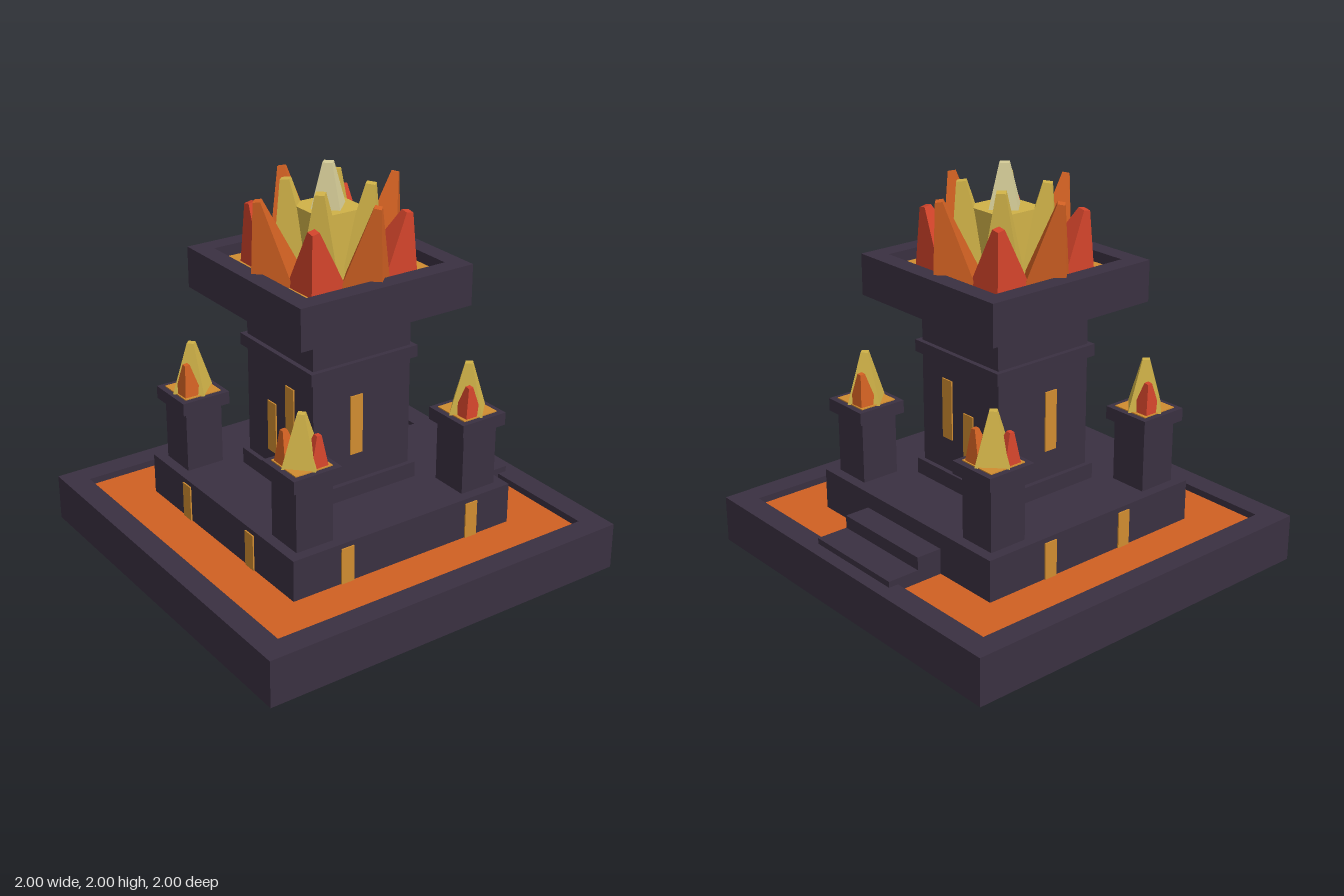
import * as THREE from 'three';

const mat = (name, color) => {
  const m = new THREE.MeshStandardMaterial({ color });
  m.name = name;
  return m;
};

export function createModel() {
  const stone = mat('dark stone', 0x3a3041);
  const lava = mat('lava orange', 0xd06022);
  const gold = mat('glowing gold', 0xd08c30);
  const red = mat('flame red', 0xd0432a);
  const yellow = mat('flame yellow', 0xd0b248);
  const pale = mat('flame pale', 0xd6cd98);

  const model = new THREE.Group();
  model.name = 'fireTower';

  const add = (parent, name, geometry, material) => {
    const mesh = new THREE.Mesh(geometry, material);
    mesh.name = name;
    parent.add(mesh);
    return mesh;
  };

  // Box given by its ranges on each axis
  const box = (parent, name, material, x0, x1, y0, y1, z0, z1) => {
    const g = new THREE.BoxGeometry(x1 - x0, y1 - y0, z1 - z0);
    g.translate((x0 + x1) / 2, (y0 + y1) / 2, (z0 + z1) / 2);
    return add(parent, name, g, material);
  };

  // Square slab centred on the vertical axis
  const slab = (parent, name, material, half, y0, y1) =>
    box(parent, name, material, -half, half, y0, y1, -half, half);

  // Square frame with an open middle
  const frame = (parent, name, material, outer, inner, y0, y1) => {
    const square = (s, h) => s.moveTo(-h, -h).lineTo(h, -h).lineTo(h, h).lineTo(-h, h).closePath();
    const shape = square(new THREE.Shape(), outer);
    shape.holes.push(square(new THREE.Path(), inner));
    const g = new THREE.ExtrudeGeometry(shape, { depth: y1 - y0, bevelEnabled: false });
    g.rotateX(-Math.PI / 2).translate(0, y0, 0);
    return add(parent, name, g, material);
  };

  // Four-sided blunt spike from a base point to a tip point, one ridge facing the heading
  const flame = (parent, name, material, base, tip, rBase, rTip, heading = 0) => {
    const a = new THREE.Vector3(...base), b = new THREE.Vector3(...tip);
    const dir = b.clone().sub(a);
    let g = new THREE.CylinderGeometry(rTip, rBase, dir.length(), 4, 1);
    g.rotateY(heading);
    g.translate(0, dir.length() / 2, 0);
    g.applyQuaternion(new THREE.Quaternion().setFromUnitVectors(
      new THREE.Vector3(0, 1, 0), dir.normalize()));
    g.translate(a.x, a.y, a.z);
    g = g.toNonIndexed();
    g.computeVertexNormals();
    return add(parent, name, g, material);
  };

  // Lava moat
  const base = new THREE.Group();
  base.name = 'base';
  model.add(base);
  slab(base, 'baseFloor', stone, 0.88, 0, 0.18);
  frame(base, 'baseWall', stone, 1, 0.88, 0, 0.24);
  slab(base, 'lavaPool', lava, 0.88, 0.18, 0.205);
  slab(base, 'plinth', stone, 0.633, 0.19, 0.415);
  box(base, 'upperStep', stone, 0.62, 0.765, 0.19, 0.335, -0.28, 0.28);
  box(base, 'lowerStep', stone, 0.76, 0.93, 0.19, 0.27, -0.28, 0.28);

  // Main tower
  const tower = new THREE.Group();
  tower.name = 'tower';
  model.add(tower);
  slab(tower, 'towerFoot', stone, 0.305, 0.415, 0.495);
  slab(tower, 'towerShaft', stone, 0.28, 0.495, 1.27);
  slab(tower, 'towerBand', stone, 0.305, 1.06, 1.12);
  slab(tower, 'towerCollar', stone, 0.335, 1.27, 1.345);
  frame(tower, 'brazierRim', stone, 0.48, 0.387, 1.34, 1.545);
  slab(tower, 'emberBed', gold, 0.387, 1.345, 1.49);

  // Glowing windows: heading of the wall, wall distance, offset along the wall, bottom, top
  const windows = [
    [0, 0.28, -0.035, 0.635, 0.94],
    [2, 0.28, 0.045, 0.635, 0.94],
    [1, 0.28, -0.09, 0.665, 0.97],
    [1, 0.28, 0.065, 0.57, 0.835],
    [3, 0.28, 0.09, 0.665, 0.97],
    [3, 0.28, -0.065, 0.57, 0.835],
    [0, 0.633, -0.335, 0.205, 0.39],
    [0, 0.633, 0.395, 0.205, 0.39],
    [2, 0.633, 0.2, 0.205, 0.39],
    [2, 0.633, -0.27, 0.205, 0.39],
    [3, 0.633, 0.27, 0.205, 0.39],
    [3, 0.633, -0.3, 0.205, 0.39],
  ];
  for (const [turn, d, u, y0, y1] of windows) {
    const w = box(model, 'window', gold, u - 0.035, u + 0.035, y0, y1, d - 0.001, d + 0.007);
    w.rotation.y = turn * Math.PI / 2;
  }

  // Great fire: orange spikes on the axes, red and yellow on the diagonals
  const fire = new THREE.Group();
  fire.name = 'greatFire';
  model.add(fire);
  const q = Math.PI / 4;
  for (let i = 0; i < 4; i++) {
    const a = i * Math.PI / 2;
    const at = (r, y, ang) => [r * Math.sin(ang), y, r * Math.cos(ang)];
    flame(fire, 'orangeFlame', lava, at(0.29, 1.48, a), at(0.387, 1.885, a), 0.145, 0.025, a);
    flame(fire, 'redFlame', red, at(0.285, 1.48, a + q), at(0.37, 1.785, a + q), 0.145, 0.028, a + q);
    flame(fire, 'yellowFlame', yellow, at(0.15, 1.48, a + q), at(0.2, 1.91, a + q), 0.14, 0.032, a);
  }
  slab(fire, 'fireCore', yellow, 0.13, 1.48, 1.79);
  flame(fire, 'paleFlame', pale, [0, 1.75, 0], [0, 2, 0], 0.11, 0.033);

  // Corner pillars, each with a small fire
  for (const sx of [-1, 1]) {
    for (const sz of [-1, 1]) {
      const pillar = new THREE.Group();
      pillar.name = 'cornerPillar';
      pillar.position.set(sx * 0.48, 0, sz * 0.48);
      model.add(pillar);
      slab(pillar, 'pillarShaft', stone, 0.1, 0.41, 0.735);
      slab(pillar, 'pillarCap', stone, 0.13, 0.735, 0.8);
      slab(pillar, 'pillarEmbers', gold, 0.1, 0.795, 0.805);
      flame(pillar, 'pillarYellowFlame', yellow, [0, 0.8, 0], [0, 1.05, 0], 0.112, 0.025);
      flame(pillar, 'pillarRedFlame', red,
        [-sx * 0.035, 0.8, sz * 0.045], [-sx * 0.045, 0.955, sz * 0.062], 0.07, 0.018, q);
      flame(pillar, 'pillarOrangeFlame', lava,
        [sx * 0.045, 0.8, -sz * 0.04], [sx * 0.062, 0.965, -sz * 0.052], 0.07, 0.018, q);
    }
  }
  return model;
}
